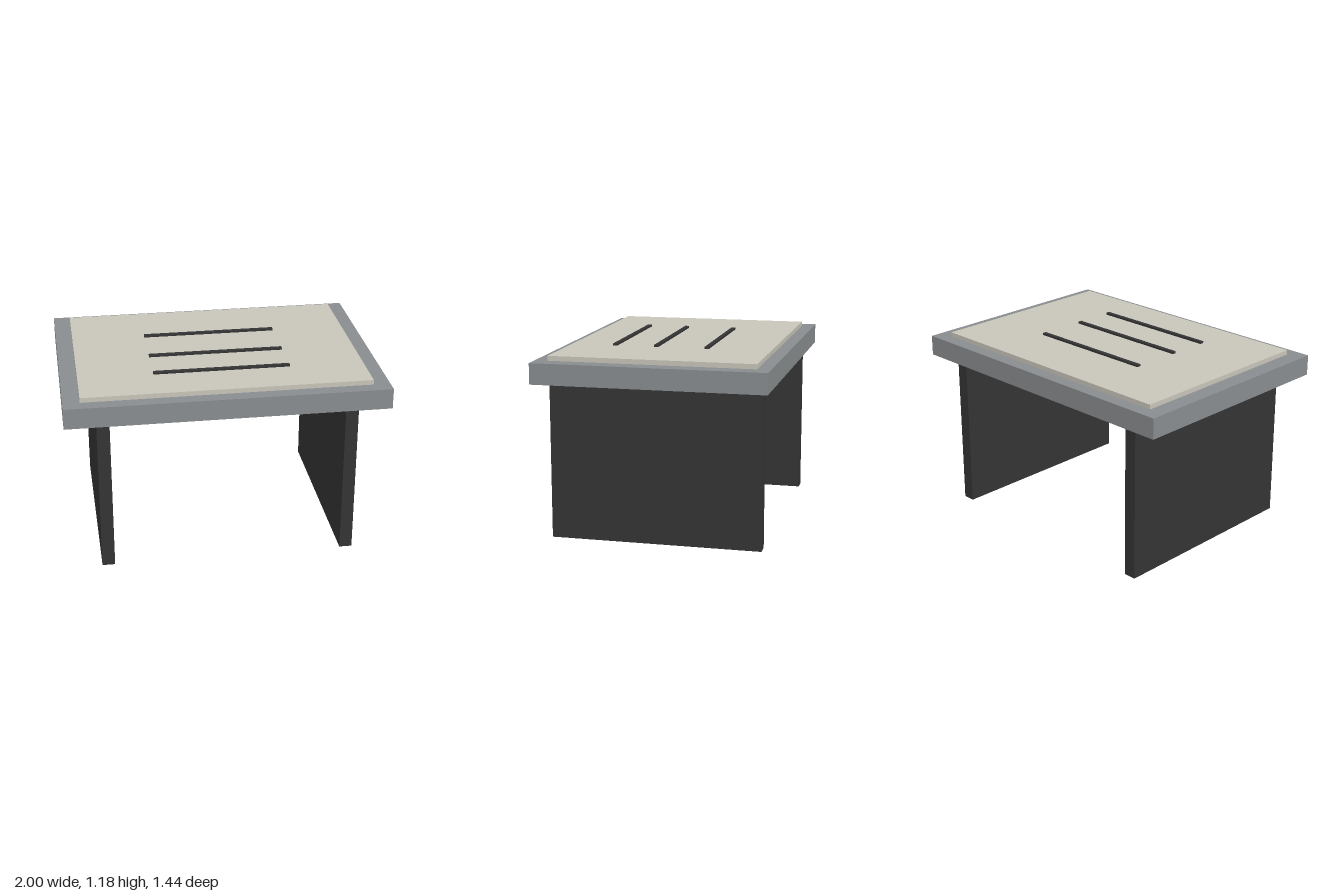
import * as THREE from 'three';

const material = (name, color) => {
  const m = new THREE.MeshStandardMaterial({ color });
  m.name = name;
  return m;
};

export function createModel() {
  const group = new THREE.Group();
  group.name = 'table';
  const grey = material('slateGrey', 0x898d8f);
  const cream = material('stoneCream', 0xc8c5b9);
  const dark = material('charcoal', 0x343434);

  // Box centred on x, z and standing on y
  const box = (name, mat, [w, h, d], x, y, z) => {
    const mesh = new THREE.Mesh(new THREE.BoxGeometry(w, h, d), mat);
    mesh.name = name;
    mesh.position.set(x, y + h / 2, z);
    group.add(mesh);
  };

  // Panel legs
  for (const [name, side] of [['leftLeg', 1], ['rightLeg', -1]]) {
    box(name, dark, [0.08, 1.003, 1.324], side * 0.765, 0, 0);
  }

  // Thick top and raised inlay panel
  box('tableTop', grey, [2, 0.13, 1.44], 0, 1.003, 0);
  box('inlayPanel', cream, [1.79, 0.03, 1.276], 0, 1.133, 0);

  // Unevenly spaced strips across the panel
  [-0.237, 0.087, 0.352].forEach((z, i) => {
    box(`strip${i + 1}`, dark, [0.854, 0.013, 0.027], 0, 1.163, z);
  });

  return group;
}
